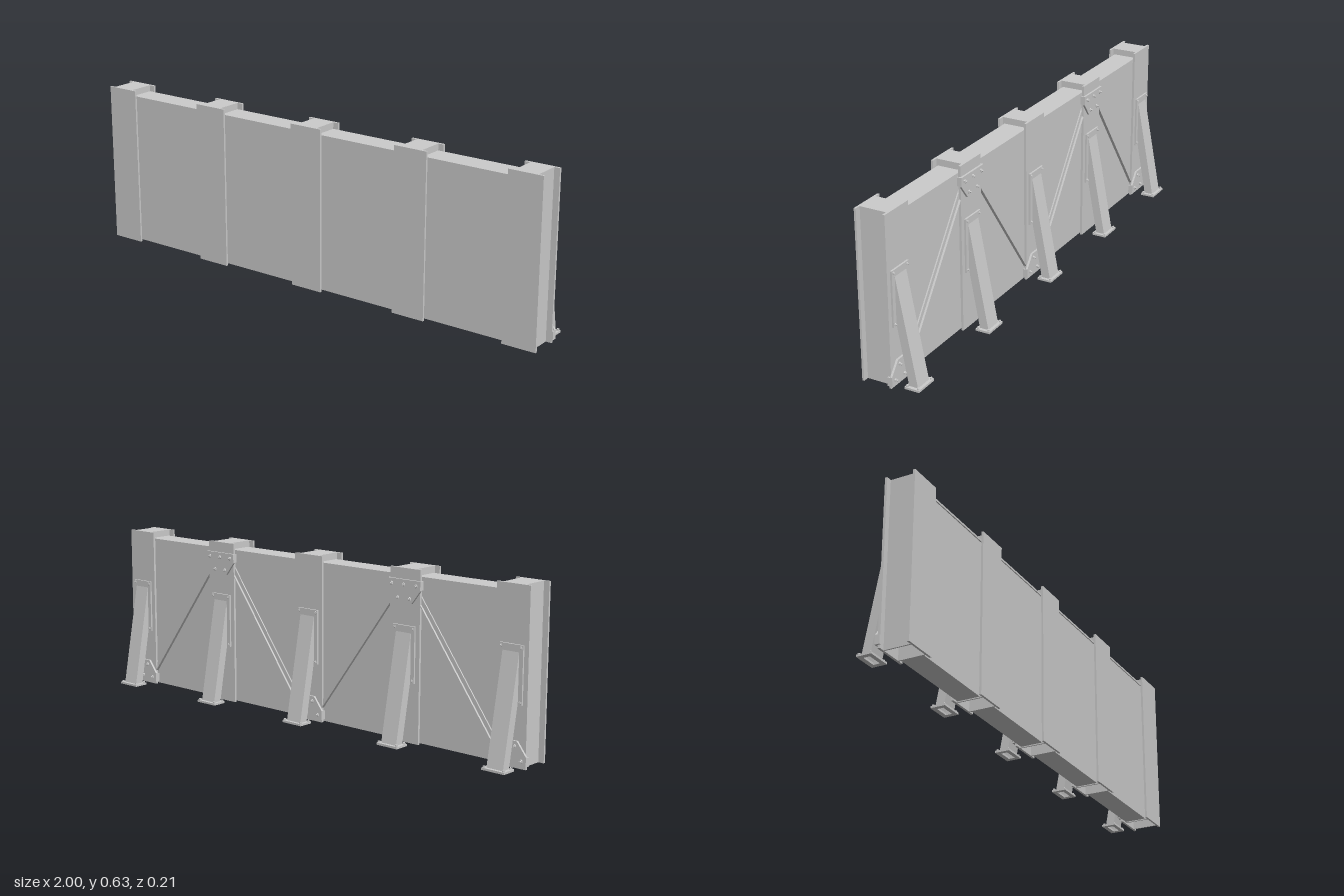
import * as THREE from 'three';

const material = new THREE.MeshStandardMaterial({ color: 0xcccccc, flatShading: true });

function add(parent, name, geometry, x = 0, y = 0, z = 0) {
  const mesh = new THREE.Mesh(geometry, material);
  mesh.name = name;
  mesh.position.set(x, y, z);
  parent.add(mesh);
  return mesh;
}

// Box given by its limits on each axis
function block(parent, name, [x0, x1], [y0, y1], [z0, z1]) {
  return add(parent, name, new THREE.BoxGeometry(x1 - x0, y1 - y0, z1 - z0),
    (x0 + x1) / 2, (y0 + y1) / 2, (z0 + z1) / 2);
}

function outline(points) {
  return new THREE.Shape(points.map(([a, b]) => new THREE.Vector2(a, b)));
}

// Side profile of (z, y) points, extruded along x and centred at x
function sideProfile(parent, name, points, width, x = 0) {
  const geometry = new THREE.ExtrudeGeometry(outline(points), { depth: width, bevelEnabled: false });
  geometry.rotateY(-Math.PI / 2).translate(width / 2, 0, 0);
  return add(parent, name, geometry, x);
}

// Hexagonal nut on a stud, pointing backwards
function backBolt(parent, x, y, z, radius, length) {
  const nut = new THREE.CylinderGeometry(radius, radius, length * 0.5, 6).rotateX(Math.PI / 2);
  const stud = new THREE.CylinderGeometry(radius * 0.55, radius * 0.55, length, 10).rotateX(Math.PI / 2);
  add(parent, 'nut', nut, x, y, z - length * 0.25);
  add(parent, 'stud', stud, x, y, z - length / 2);
}

// Post: two flanges joined by a hollow core, closed on top
function createPost() {
  const post = new THREE.Group();
  post.name = 'post';
  block(post, 'frontFlange', [-0.068, 0.068], [0, 0.635], [0.1, 0.108]);
  block(post, 'backFlange', [-0.068, 0.068], [0, 0.635], [-0.01, -0.001]);
  for (const s of [-1, 1]) {
    const x = s * 0.0435;
    block(post, 'coreWall', [x - 0.0025, x + 0.0025], [0, 0.635], [-0.001, 0.1]);
  }
  block(post, 'coreCap', [-0.046, 0.046], [0.629, 0.635], [-0.001, 0.1]);
  return post;
}

// Sloping prop: mounting plate, hollow leg and bolted foot
function createProp() {
  const prop = new THREE.Group();
  prop.name = 'prop';
  block(prop, 'mountingPlate', [-0.05, 0.05], [0.223, 0.43], [-0.017, -0.01]);
  for (const x of [-0.041, 0.041]) {
    for (const y of [0.232, 0.42]) backBolt(prop, x, y, -0.017, 0.006, 0.006);
  }
  const side = [[-0.016, 0.41], [-0.016, 0.235], [-0.058, 0.008], [-0.093, 0.008]];
  for (const s of [-1, 1]) sideProfile(prop, 'legSide', side, 0.004, s * 0.032);
  sideProfile(prop, 'legBack', [[-0.016, 0.41], [-0.016, 0.385], [-0.088, 0.008], [-0.093, 0.008]], 0.068);
  sideProfile(prop, 'legFront', [[-0.016, 0.26], [-0.016, 0.235], [-0.058, 0.008], [-0.063, 0.008]], 0.068);

  // Foot plate with an opening under the hollow leg
  const plate = outline([[-0.047, 0.047], [0.047, 0.047], [0.047, 0.105], [-0.047, 0.105]]);
  plate.holes.push(outline([[-0.03, 0.063], [-0.03, 0.088], [0.03, 0.088], [0.03, 0.063]]));
  const foot = new THREE.ExtrudeGeometry(plate, { depth: 0.008, bevelEnabled: false });
  foot.rotateX(-Math.PI / 2);
  add(prop, 'footPlate', foot);
  for (const x of [-0.04, 0.04]) {
    for (const z of [-0.055, -0.098]) {
      add(prop, 'footBolt', new THREE.CylinderGeometry(0.005, 0.005, 0.006, 6), x, 0.011, z);
    }
  }
  return prop;
}

// Gusset plate holding the brace ends; the wide edge is up, or down when flipped
function createGusset(flipped) {
  const gusset = new THREE.Group();
  gusset.name = flipped ? 'lowerGusset' : 'upperGusset';
  const place = y => (flipped ? 0.607 - y : y);
  const points = [[-0.074, 0.595], [-0.074, 0.56], [-0.035, 0.51], [0.035, 0.51], [0.074, 0.56], [0.074, 0.595]];
  const geometry = new THREE.ExtrudeGeometry(
    outline(points.map(([x, y]) => [x, place(y)])), { depth: 0.008, bevelEnabled: false });
  add(gusset, 'gussetPlate', geometry, 0, 0, -0.018);
  for (const [x, y] of [[-0.055, 0.577], [0, 0.577], [0.055, 0.577], [-0.027, 0.528], [0.027, 0.528]]) {
    backBolt(gusset, x, place(y), -0.018, 0.007, 0.011);
  }
  // Packing strip behind the wide edge, on each side of the flange
  for (const s of [-1, 1]) {
    const y = [place(0.595), place(0.562)].sort((a, b) => a - b);
    block(gusset, 'packing', s < 0 ? [-0.074, -0.068] : [0.068, 0.074], y, [-0.01, 0.001]);
  }
  return gusset;
}

// Diagonal angle bar between two points on the back of a panel
function createBrace(x0, y0, x1, y1) {
  const brace = new THREE.Group();
  brace.name = 'brace';
  const length = Math.hypot(x1 - x0, y1 - y0);
  block(brace, 'braceWeb', [-length / 2, length / 2], [-0.01, 0.01], [-0.002, 0.003]);
  block(brace, 'braceLip', [-length / 2, length / 2], [-0.01, -0.006], [-0.0095, -0.002]);
  brace.position.set((x0 + x1) / 2, (y0 + y1) / 2, 0);
  brace.rotation.z = Math.atan2(y1 - y0, x1 - x0);
  return brace;
}

export function createModel() {
  const model = new THREE.Group();
  model.name = 'bracedBarrier';
  const spacing = 0.4625;
  const half = 0.046;

  for (let i = 0; i < 5; i++) {
    const x = (i - 2) * spacing;
    const bay = new THREE.Group();
    bay.name = 'postAssembly';
    bay.position.x = x;
    bay.add(createPost(), createProp(), createGusset(i % 2 === 0));
    model.add(bay);

    if (i === 4) continue;
    // Wall panel with a slightly wider top cap
    const span = [x + half, x + spacing - half];
    block(model, 'panel', span, [0.004, 0.602], [0.003, 0.09]);
    block(model, 'panelCap', span, [0.602, 0.61], [-0.001, 0.094]);

    // Braces rise towards the second and fourth posts
    const rising = i % 2 === 0;
    model.add(createBrace(x + 0.05, rising ? 0.05 : 0.545, x + spacing - 0.05, rising ? 0.545 : 0.05));
  }
  return model;
}
